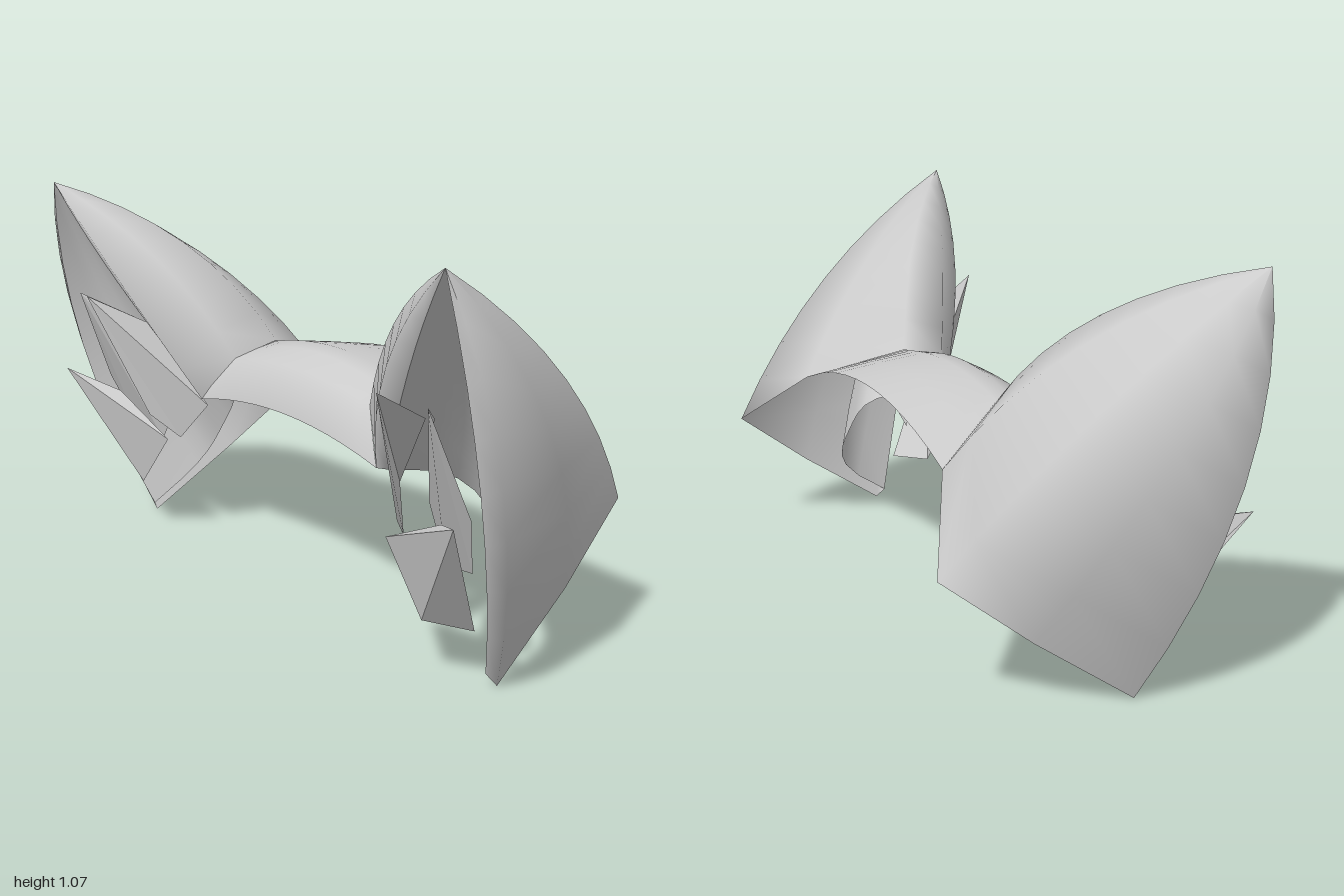
import * as THREE from 'three';

const material = new THREE.MeshStandardMaterial({ color: 0xcccccc, side: THREE.DoubleSide });
const flatMaterial = new THREE.MeshStandardMaterial({ color: 0xcccccc, side: THREE.DoubleSide, flatShading: true });

// Smooth surface through a grid of points: at(i, j) gives [x, y, z]
function sheet(name, cols, rows, at) {
  const positions = [], index = [];
  for (let i = 0; i <= cols; i++) {
    for (let j = 0; j <= rows; j++) positions.push(...at(i, j));
  }
  for (let i = 0; i < cols; i++) {
    for (let j = 0; j < rows; j++) {
      const a = i * (rows + 1) + j, b = a + rows + 1;
      index.push(a, a + 1, b, b, a + 1, b + 1);
    }
  }
  const geometry = new THREE.BufferGeometry();
  geometry.setAttribute('position', new THREE.Float32BufferAttribute(positions, 3));
  geometry.setIndex(index);
  geometry.computeVertexNormals();
  const mesh = new THREE.Mesh(geometry, material);
  mesh.name = name;
  return mesh;
}

// Ear shell ribs: [point on the open bottom rim, point halfway to the tip]
const TIP = [0.915, 1.07, 0.37];
const RIBS = [
  [[0.80, 0.03, 0.12], [0.945, 0.55, 0.28]], // outer front lip
  [[0.82, 0.00, 0.10], [1.00, 0.58, 0.265]],
  [[0.78, 0.18, -0.16], [0.97, 0.68, 0.10]],
  [[0.73, 0.36, -0.39], [0.865, 0.755, -0.05]], // back corner
  [[0.48, 0.54, -0.26], [0.655, 0.86, 0.02]],
  [[0.30, 0.64, -0.02], [0.565, 0.91, 0.13]], // inner corner
  [[0.32, 0.60, 0.11], [0.56, 0.87, 0.225]],
  [[0.42, 0.465, 0.165], [0.635, 0.795, 0.305]],
  [[0.435, 0.46, 0.14], [0.69, 0.785, 0.285]], // inner front lip
];
const LAST = RIBS.length - 1;
const ROWS = 8;

// Each rib is a quadratic arc passing through its halfway point
function earPoint(i, t) {
  const [base, mid] = RIBS[i];
  return base.map((b, k) => {
    const control = 2 * mid[k] - (b + TIP[k]) / 2;
    return (1 - t) ** 2 * b + 2 * t * (1 - t) * control + t * t * TIP[k];
  });
}

// Hollow inner wall between the two front lips, u running from inner to outer
const INWARD = [0.2, 0.27, -0.94];
function innerPoint(u, t) {
  const from = earPoint(LAST, t), to = earPoint(0, t);
  const depth = 0.2 * (1 - t * t) * (1 - (2 * u - 1) ** 4);
  return from.map((a, k) => a + (to[k] - a) * u + INWARD[k] * depth);
}

// Fur tufts: flat facets fanned out from the pointed tip
const TUFTS = {
  lowerTuft: [[0.93, 0.485, 0.345], [0.77, 0.43, 0.245], [0.53, 0.325, 0.22], [0.68, 0.155, 0.225], [0.79, 0.145, 0.15]],
  outerTuft: [[0.83, 0.74, 0.34], [0.71, 0.67, 0.22], [0.60, 0.42, 0.14], [0.68, 0.28, 0.15], [0.80, 0.30, 0.17], [0.86, 0.46, 0.23]],
  innerTuft: [[0.70, 0.755, 0.385], [0.63, 0.645, 0.18], [0.46, 0.43, 0.12], [0.54, 0.32, 0.17], [0.60, 0.39, 0.24]],
};

function tuft(name, points, side) {
  const positions = [];
  for (let i = 1; i < points.length - 1; i++) {
    const corners = [points[0], points[i], points[i + 1]];
    if (side < 0) corners.reverse();
    for (const [x, y, z] of corners) positions.push(x * side, y, z);
  }
  const geometry = new THREE.BufferGeometry();
  geometry.setAttribute('position', new THREE.Float32BufferAttribute(positions, 3));
  geometry.computeVertexNormals();
  const mesh = new THREE.Mesh(geometry, flatMaterial);
  mesh.name = name;
  return mesh;
}

function ear(name, side) {
  const group = new THREE.Group();
  group.name = name;
  // Column order flips with the side so the front faces point outward
  const mirrored = (cols, point) => (i, j) => {
    const [x, y, z] = point(side > 0 ? i : cols - i, j / ROWS);
    return [x * side, y, z];
  };
  group.add(sheet('earShell', LAST, ROWS, mirrored(LAST, earPoint)));
  group.add(sheet('innerEar', 12, ROWS, mirrored(12, (i, t) => innerPoint(i / 12, t))));
  for (const [tuftName, points] of Object.entries(TUFTS)) group.add(tuft(tuftName, points, side));
  return group;
}

// Head band: [z, height at centre, half length, height at the ends], front to back
const BAND = [
  [0.165, 0.515, 0.42, 0.465],
  [0.15, 0.57, 0.39, 0.51],
  [0.11, 0.63, 0.32, 0.60],
  [0.04, 0.667, 0.31, 0.622],
  [-0.02, 0.675, 0.30, 0.638],
  [-0.14, 0.657, 0.39, 0.59],
  [-0.26, 0.635, 0.48, 0.54],
];

function headBand() {
  return sheet('headBand', 12, BAND.length - 1, (i, j) => {
    const [z, top, half, end] = BAND[j];
    const u = 1 - i / 6;
    return [u * half, top - (top - end) * u * u, z];
  });
}

export function createModel() {
  const model = new THREE.Group();
  model.name = 'earHeadband';
  model.add(headBand(), ear('leftEar', 1), ear('rightEar', -1));
  return model;
}
